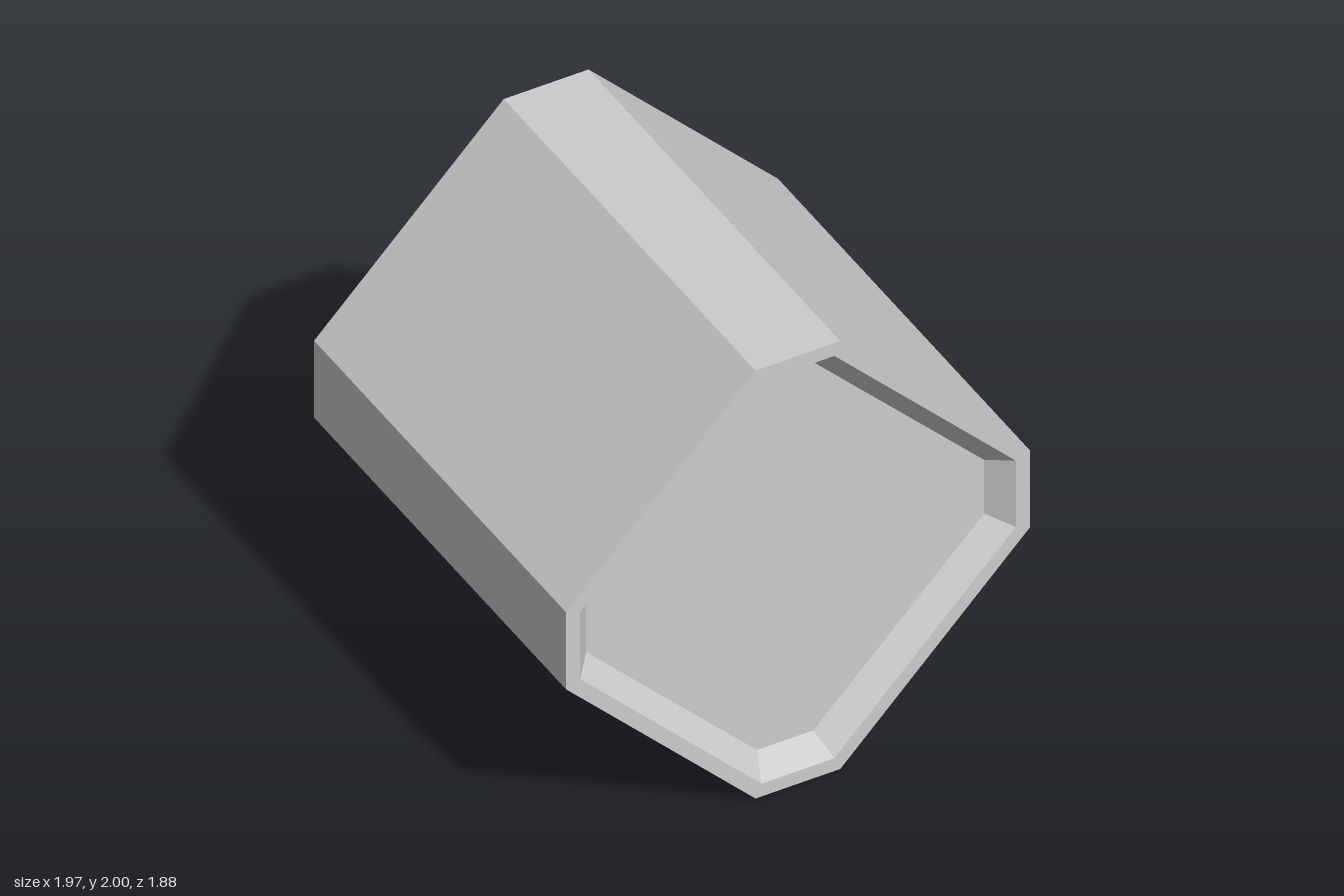
import * as THREE from 'three';

// Corners of an eight-sided section, counter-clockwise seen from the front.
// w, v: corner on the side faces; h, u: corner on the top and bottom faces.
const octagon = ([w, v, u, h, z]) =>
  [[w, -v], [w, v], [u, h], [-u, h], [-w, v], [-w, -v], [-u, -h], [u, -h]]
    .map(([x, y]) => new THREE.Vector3(x, y, z));

// Faceted skin through a run of octagon sections.
function loft(sections) {
  const rings = sections.map(octagon);
  const points = [];
  for (let i = 0; i < rings.length - 1; i++) {
    for (let j = 0; j < 8; j++) {
      const k = (j + 1) % 8;
      const [p, q, r, s] = [rings[i][j], rings[i + 1][j], rings[i][k], rings[i + 1][k]];
      if (!p.equals(r)) points.push(p, q, r);
      if (!q.equals(s)) points.push(q, s, r);
    }
  }
  const geometry = new THREE.BufferGeometry().setFromPoints(points);
  geometry.computeVertexNormals();
  return geometry;
}

export function createModel() {
  const grey = new THREE.MeshStandardMaterial({ color: 0xcccccc, flatShading: true });
  grey.name = 'light grey';

  const L = 0.94; // half length
  const D = 0.095; // depth of the end recesses

  // Sections from the centre of the end face out to the outer edge
  const end = [
    [0, 0, 0, 0, L - D],
    [0.845, 0.125, 0.12, 0.86, L - D], // recess floor
    [0.925, 0.155, 0.155, 0.94, L], // inner edge of rim
    [0.985, 0.18, 0.18, 1, L], // outer edge of rim
  ];
  const mirrored = end.map(([w, v, u, h, z]) => [w, v, u, h, -z]).reverse();

  const group = new THREE.Group();
  group.name = 'octagonalDrum';
  const add = (name, sections) => {
    const mesh = new THREE.Mesh(loft(sections), grey);
    mesh.name = name;
    mesh.position.y = 1;
    group.add(mesh);
  };
  add('frontEnd', end);
  add('outerWall', [end[3], mirrored[0]]);
  add('backEnd', mirrored);
  return group;
}
